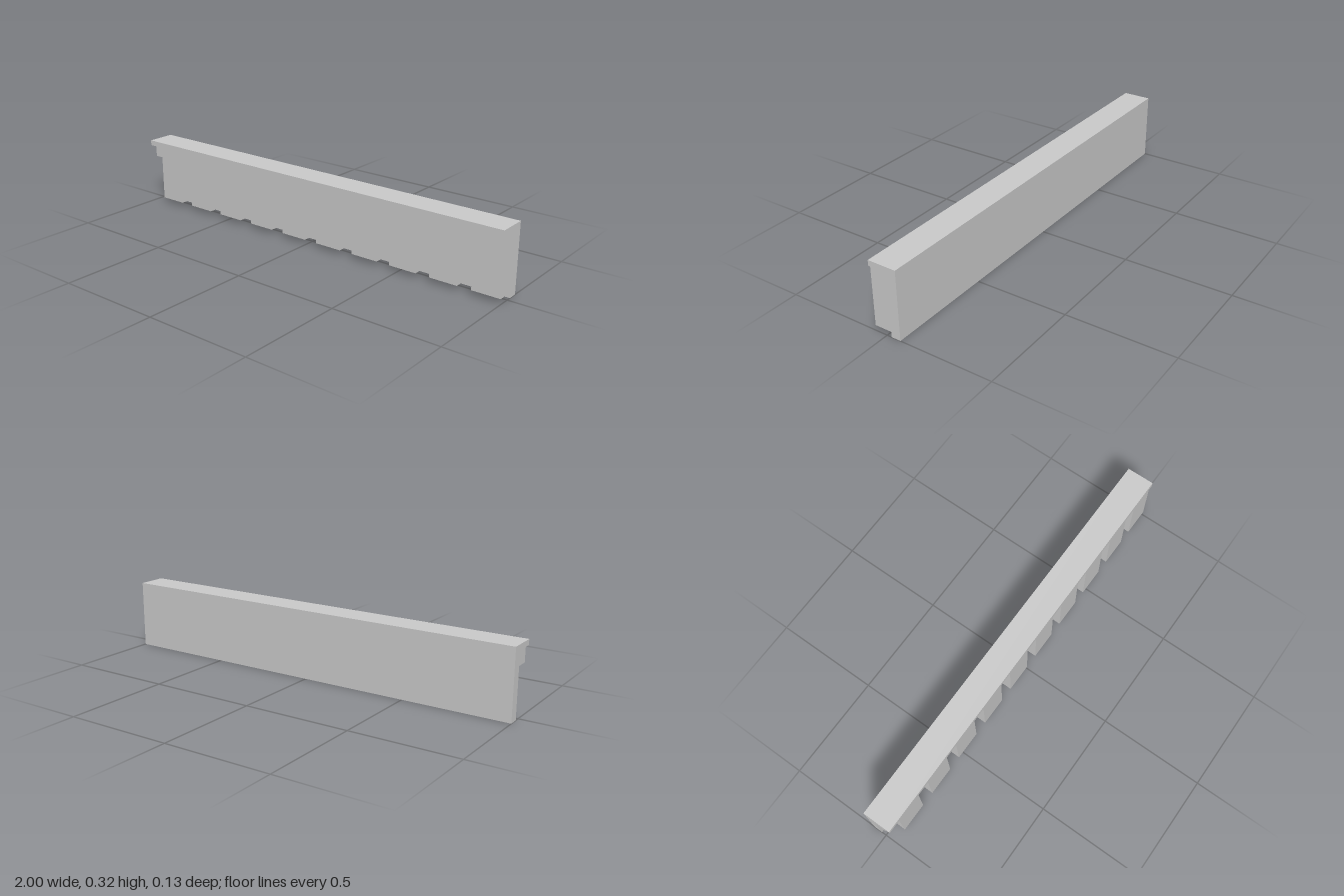
import * as THREE from 'three';

const LENGTH = 2, COUNT = 10, PITCH = LENGTH / COUNT;
const BLOCK_W = PITCH * 2 / 3, GAP_W = PITCH - BLOCK_W;
const BACK = -0.067, WALL_FRONT = -0.023, CAP_BOTTOM = 0.295;

export function createModel() {
  const model = new THREE.Group();
  model.name = 'dentilMoulding';
  const material = new THREE.MeshStandardMaterial({ color: 0xcccccc, flatShading: true });

  // Box given by its lower and upper corners
  function addBox(name, [x0, y0, z0], [x1, y1, z1]) {
    const mesh = new THREE.Mesh(new THREE.BoxGeometry(x1 - x0, y1 - y0, z1 - z0), material);
    mesh.position.set((x0 + x1) / 2, (y0 + y1) / 2, (z0 + z1) / 2);
    mesh.name = name;
    model.add(mesh);
  }

  // Back board and overhanging top strip
  addBox('backBoard', [-1, 0, BACK], [1, CAP_BOTTOM, WALL_FRONT]);
  addBox('topStrip', [-1, CAP_BOTTOM, BACK], [1, 0.32, 0.067]);

  // Each repeat: a short recessed filler, then a tall dentil block
  for (let i = 0; i < COUNT; i++) {
    const x = -1 + i * PITCH;
    addBox('filler', [x, 0.23, WALL_FRONT], [x + GAP_W, CAP_BOTTOM, 0.034]);
    addBox('dentil', [x + GAP_W, 0.025, WALL_FRONT], [x + PITCH, CAP_BOTTOM, 0.057]);
  }
  return model;
}
